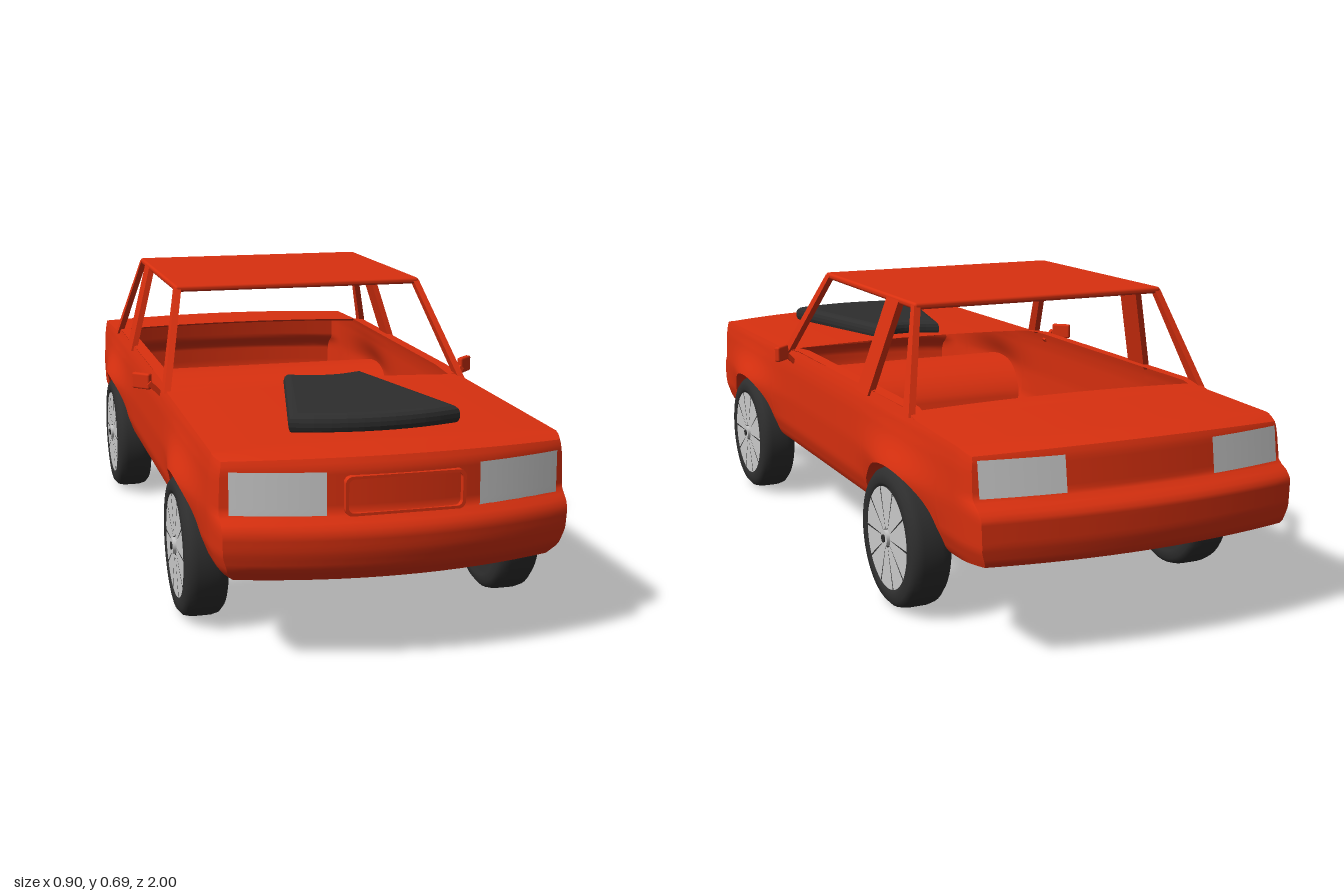
import * as THREE from 'three';
import { RoundedBoxGeometry } from 'three/addons/geometries/RoundedBoxGeometry.js';

const red = new THREE.MeshStandardMaterial({ color: 0xd9300f, side: THREE.DoubleSide });
red.name = 'red paint';
const dark = new THREE.MeshStandardMaterial({ color: 0x2e2e2e });
dark.name = 'dark rubber';
const silver = new THREE.MeshStandardMaterial({ color: 0xcacaca });
silver.name = 'silver';

const range = (a, b, n) => Array.from({ length: n + 1 }, (_, i) => a + (b - a) * i / n);

// Piecewise linear curve through [position, value] pairs
function curve(pts, t) {
  if (t <= pts[0][0]) return pts[0][1];
  for (let i = 1; i < pts.length; i++) {
    const [a, p] = pts[i - 1], [b, q] = pts[i];
    if (t <= b) return p + (q - p) * (t - a) / (b - a);
  }
  return pts[pts.length - 1][1];
}

// Surface patch; its front faces du x dv
function patch(us, vs, fn) {
  const pos = [], idx = [], n = vs.length;
  us.forEach(u => vs.forEach(v => pos.push(...fn(u, v))));
  for (let i = 0; i < us.length - 1; i++) for (let j = 0; j < n - 1; j++) {
    const a = i * n + j, b = a + n;
    idx.push(a, b, b + 1, a, b + 1, a + 1);
  }
  const g = new THREE.BufferGeometry();
  g.setAttribute('position', new THREE.Float32BufferAttribute(pos, 3));
  g.setIndex(idx);
  g.computeVertexNormals();
  return g;
}

function add(parent, name, geometry, material, x = 0, y = 0, z = 0) {
  const m = new THREE.Mesh(geometry, material);
  m.name = name;
  m.position.set(x, y, z);
  parent.add(m);
  return m;
}

// Body profiles
const arches = [{ z: 0.575, r: 0.205 }, { z: -0.555, r: 0.225 }];
const topLine = [[-1, 0.437], [-0.9, 0.447], [-0.62, 0.455], [-0.58, 0.468], [0.18, 0.468], [0.3, 0.458], [0.85, 0.452], [1, 0.443]];
const sideLine = [[0.19, 0.362], [0.21, 0.377], [0.25, 0.39], [0.33, 0.393], [0.41, 0.39], [0.44, 0.386], [0.47, 0.378]];
const noseLine = [[0.19, 0.955], [0.22, 0.985], [0.26, 0.997], [0.3, 1], [0.318, 0.99], [0.335, 0.967], [0.43, 0.965], [0.45, 0.955]];
const tailLine = [[0.2, 0.975], [0.225, 0.993], [0.26, 1], [0.32, 1], [0.335, 0.985], [0.35, 0.957], [0.43, 0.945], [0.45, 0.935]];

function bottomY(z) {
  for (const a of arches) {
    const u = (z - a.z) / a.r;
    if (Math.abs(u) < 1) return 0.2 + 0.135 * Math.sqrt(1 - u * u);
  }
  return curve([[-1, 0.215], [-0.8, 0.2], [0.8, 0.2], [1, 0.19]], z);
}
function endZ(x, y, dir) {
  const q = (x / 0.39) ** 2;
  return dir > 0 ? curve(noseLine, y) - 0.07 * q : -curve(tailLine, y) + 0.045 * q;
}
// Point on the hull: station z, lateral s (-1..1), height fraction v (0..1)
function hull(z, s, v) {
  const yb = bottomY(z), y0 = yb + (curve(topLine, z) - yb) * v;
  let w = curve(sideLine, y0);
  for (const a of arches)
    w += 0.03 * Math.exp(-(((z - a.z) / 0.17) ** 2)) * Math.exp(-(((y0 - 0.32) / 0.06) ** 2));
  const e = Math.max(0, (Math.abs(z) - 0.85) / 0.15);
  w *= 1 - 0.035 * e * e;
  const x = s * w, y = y0 + 0.008 * (1 - s * s) * v;
  const dir = Math.sign(z);
  const zz = e > 0 ? dir * 0.85 + e * (endZ(x, y, dir) - dir * 0.85) : z;
  return [x, y, zz];
}

// Four-sided post between a bottom and a top span in z, leaning inwards
function post(b0, b1, t0, t1, side, thick) {
  const ring = (y, x, z0, z1) => [[x, y, z0], [x - thick, y, z0], [x - thick, y, z1], [x, y, z1], [x, y, z0]]
    .map(p => [p[0] * side, p[1], p[2]]);
  const rings = [ring(0.455, 0.388, b0, b1), ring(0.684, 0.325, t0, t1)];
  const g = patch(range(0, 4, 4), [0, 1], (i, j) => rings[j][i]).toNonIndexed();
  g.computeVertexNormals();
  return g;
}

function makeWheel() {
  const wheel = new THREE.Group();
  const profile = [[0, -0.042], [0.11, -0.042], [0.128, -0.05], [0.148, -0.048], [0.159, -0.038], [0.163, -0.022],
    [0.163, 0.022], [0.159, 0.038], [0.148, 0.048], [0.128, 0.05], [0.12, 0.044], [0.118, 0.042], [0, 0.042]];
  const tyre = new THREE.LatheGeometry(profile.map(p => new THREE.Vector2(...p)), 48);
  add(wheel, 'tyre', tyre.rotateZ(-Math.PI / 2), dark);
  // Rim segments with thin dark gaps
  const step = Math.PI / 5;
  for (let i = 0; i < 10; i++)
    add(wheel, 'rimSegment', new THREE.RingGeometry(0.022, 0.119, 5, 1, i * step + 0.02, step - 0.04).rotateY(Math.PI / 2), silver, 0.047);
  const disc = (r, d) => new THREE.CylinderGeometry(r, r, d, 20).rotateZ(Math.PI / 2);
  add(wheel, 'hub', disc(0.019, 0.016), silver, 0.046);
  add(wheel, 'hubCap', disc(0.009, 0.004), dark, 0.055);
  add(wheel, 'innerHub', disc(0.02, 0.016), dark, -0.047);
  return wheel;
}

export function createModel() {
  const car = new THREE.Group();
  const body = new THREE.Group();
  body.name = 'body';
  car.add(body);

  // Open shell: sides, floor with wheel tunnels, ends, bonnet and boot
  const stations = range(-1, 1, 200), rows = range(0, 1, 24), across = range(-1, 1, 16);
  for (const s of [1, -1]) {
    add(body, 'sidePanel', patch(rows, stations, (v, z) => hull(z, s, v)), red);
    add(body, 'endPanel', patch(across, rows, (x, v) => hull(s, s * x, v)), red);
    add(body, 'windowSill', patch(range(0.27, -0.6, 30), [0.92, 1], (z, x) => {
      const p = hull(z, s * x, 1);
      return [p[0], p[1] + 0.001, p[2]];
    }), red);
  }
  add(body, 'floor', patch(stations, across, (z, s) => hull(z, s, 0)), red);
  add(body, 'bonnet', patch(range(0.27, 1, 40), across, (z, s) => hull(z, s, 1)), red);
  add(body, 'boot', patch(range(-1, -0.59, 24), across, (z, s) => hull(z, s, 1)), red);

  // Roof and pillars
  add(car, 'roof', new RoundedBoxGeometry(0.65, 0.016, 0.6, 2, 0.007), red, 0, 0.682, -0.194);
  for (const s of [1, -1]) {
    add(car, 'frontPillar', post(0.25, 0.29, 0.075, 0.104, s, 0.016), red);
    add(car, 'middlePillar', post(-0.355, -0.28, -0.4, -0.325, s, 0.016), red);
    add(car, 'rearPillar', post(-0.605, -0.57, -0.492, -0.472, s, 0.016), red);
  }

  // Headlights and tail lights, curved with the ends
  for (const s of [1, -1]) for (const dir of [1, -1]) {
    const [x0, x1, y0, y1] = dir > 0 ? [0.166, 0.36, 0.323, 0.424] : [0.18, 0.366, 0.352, 0.43];
    const xs = range(Math.min(s * x0, s * x1), Math.max(s * x0, s * x1), 6);
    if (dir < 0) xs.reverse();
    const lift = dir > 0 ? 0.005 : 0.004;
    add(car, dir > 0 ? 'headlight' : 'tailLight',
      patch(xs, range(y0, y1, 8), (x, y) => [x, y, endZ(x, Math.max(y, 0.335), dir) + dir * lift]), silver);
  }

  // Grille surround
  const rounded = (P, w, h, r) => {
    const p = new P();
    p.absarc(w - r, h - r, r, 0, Math.PI / 2);
    p.absarc(r - w, h - r, r, Math.PI / 2, Math.PI);
    p.absarc(r - w, r - h, r, Math.PI, Math.PI * 1.5);
    p.absarc(w - r, r - h, r, Math.PI * 1.5, Math.PI * 2);
    p.closePath();
    return p;
  };
  const frame = rounded(THREE.Shape, 0.13, 0.042, 0.015);
  frame.holes.push(rounded(THREE.Path, 0.123, 0.036, 0.012));
  add(car, 'grilleSurround', new THREE.ExtrudeGeometry(frame, { depth: 0.018, bevelEnabled: false, curveSegments: 5 }), red, 0, 0.373, 0.955);

  // Bonnet scoop
  const scoop = new THREE.Shape();
  scoop.moveTo(-0.085, -0.35);
  scoop.quadraticCurveTo(0, -0.395, 0.085, -0.35);
  scoop.lineTo(0.172, -0.745);
  scoop.quadraticCurveTo(0, -0.805, -0.172, -0.745);
  scoop.closePath();
  const scoopGeo = new THREE.ExtrudeGeometry(scoop, { depth: 0.01, bevelThickness: 0.018, bevelSize: 0.02, bevelSegments: 3, curveSegments: 10 });
  add(car, 'bonnetScoop', scoopGeo.rotateX(-Math.PI / 2), dark, 0, 0.471, 0);

  // Door mirrors
  for (const s of [1, -1]) {
    const mirror = add(car, 'mirror', new RoundedBoxGeometry(0.052, 0.04, 0.016, 2, 0.005), red, s * 0.426, 0.468, 0.185);
    mirror.rotation.y = -s * 0.75 * -1;
    const arm = add(car, 'mirrorArm', new THREE.BoxGeometry(0.04, 0.012, 0.014), red, s * 0.398, 0.452, 0.208);
    arm.rotation.z = s * 0.8;
  }

  // Wheels
  for (const z of [0.57, -0.535]) for (const s of [1, -1]) {
    const wheel = makeWheel();
    wheel.name = (z > 0 ? 'front' : 'rear') + (s > 0 ? 'LeftWheel' : 'RightWheel');
    wheel.position.set(s * 0.368, 0.163, z);
    if (s < 0) wheel.rotation.y = Math.PI;
    car.add(wheel);
  }
  return car;
}
